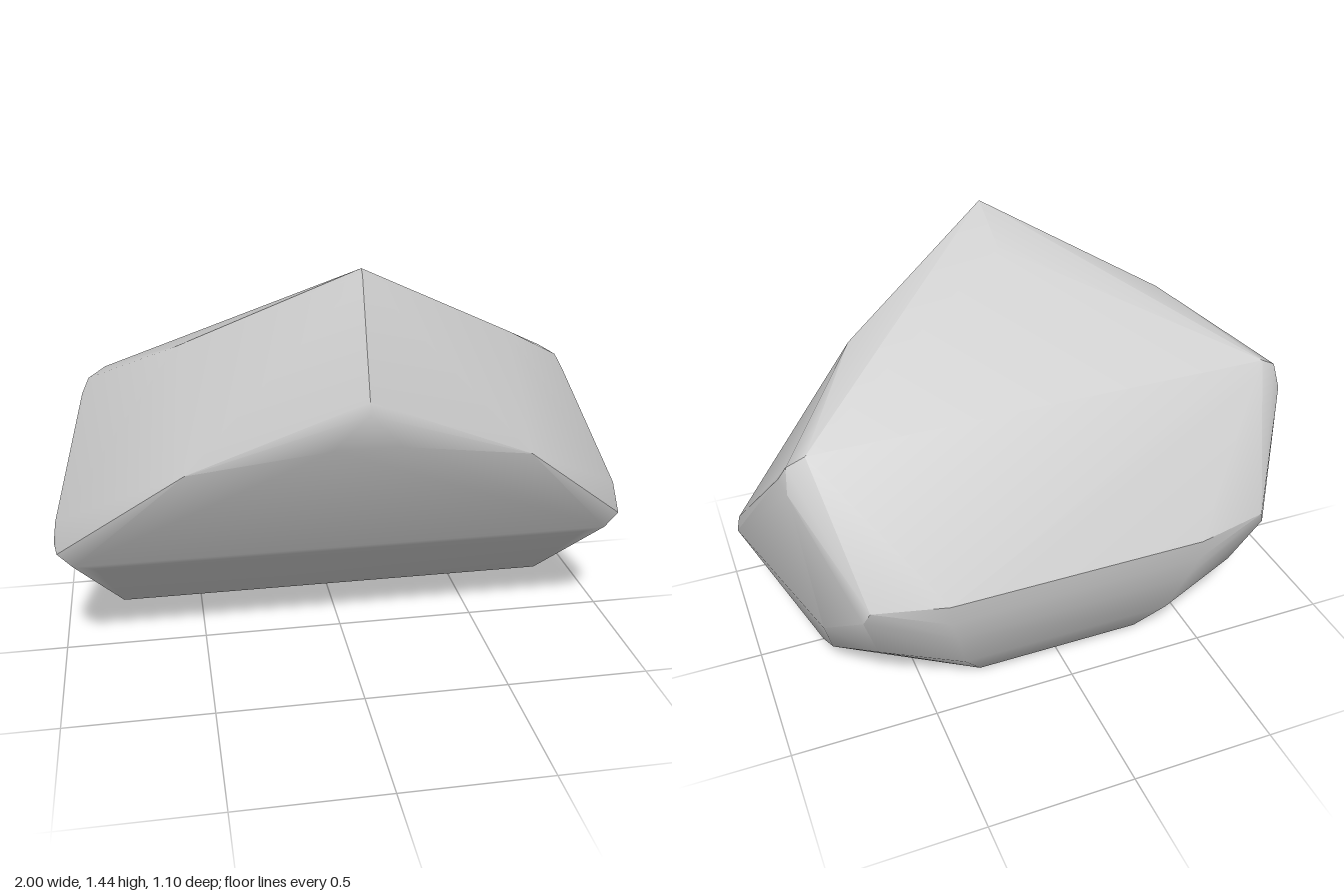
import * as THREE from 'three';
import { ConvexGeometry } from 'three/addons/geometries/ConvexGeometry.js';
import { toCreasedNormals } from 'three/addons/utils/BufferGeometryUtils.js';

// Corner points of one half; every point off the centre plane is mirrored
const corners = [
  // peak and front ridge
  [0, 1.44, 0.38], [0, 1.425, 0.4], [0, 1.34, 0.2], [0, 1.07, 0.543], [0, 1.03, 0.55],
  [0.11, 0.91, 0.52],
  // shoulders
  [0.56, 1.14, 0.1], [0.56, 0.82, 0.425],
  // upper back corners, bevelled
  [0.8, 0.975, -0.255], [0.86, 0.94, -0.24], [0.885, 0.89, -0.22], [0.87, 0.86, -0.27],
  // widest side corners, bevelled
  [0.99, 0.55, 0.1], [1, 0.48, 0.12], [0.99, 0.46, 0.17], [0.94, 0.41, 0.175], [0.87, 0.39, 0.16],
  // rear edge
  [0.45, 0.5, -0.55], [0.7, 0.52, -0.51], [0.72, 0.47, -0.49], [0.45, 0.42, -0.54],
  [0.82, 0.36, -0.34],
  // lower back
  [0.42, 0.33, -0.52], [0.38, 0.16, -0.46], [0.66, 0.25, -0.4],
  // underside
  [0.79, 0.11, -0.12], [0.77, 0.12, -0.18], [0.31, 0.0, -0.33], [0.3, 0.03, -0.38],
];

export function createModel() {
  const points = [];
  for (const [x, y, z] of corners) {
    points.push(new THREE.Vector3(x, y, z));
    if (x > 0) points.push(new THREE.Vector3(-x, y, z));
  }

  // Faceted boulder with softened bevels
  const geometry = toCreasedNormals(new ConvexGeometry(points), 0.6);
  const boulder = new THREE.Mesh(geometry, new THREE.MeshStandardMaterial({ color: 0xcccccc }));
  boulder.name = 'boulder';

  const group = new THREE.Group();
  group.name = 'rock';
  group.add(boulder);
  return group;
}
